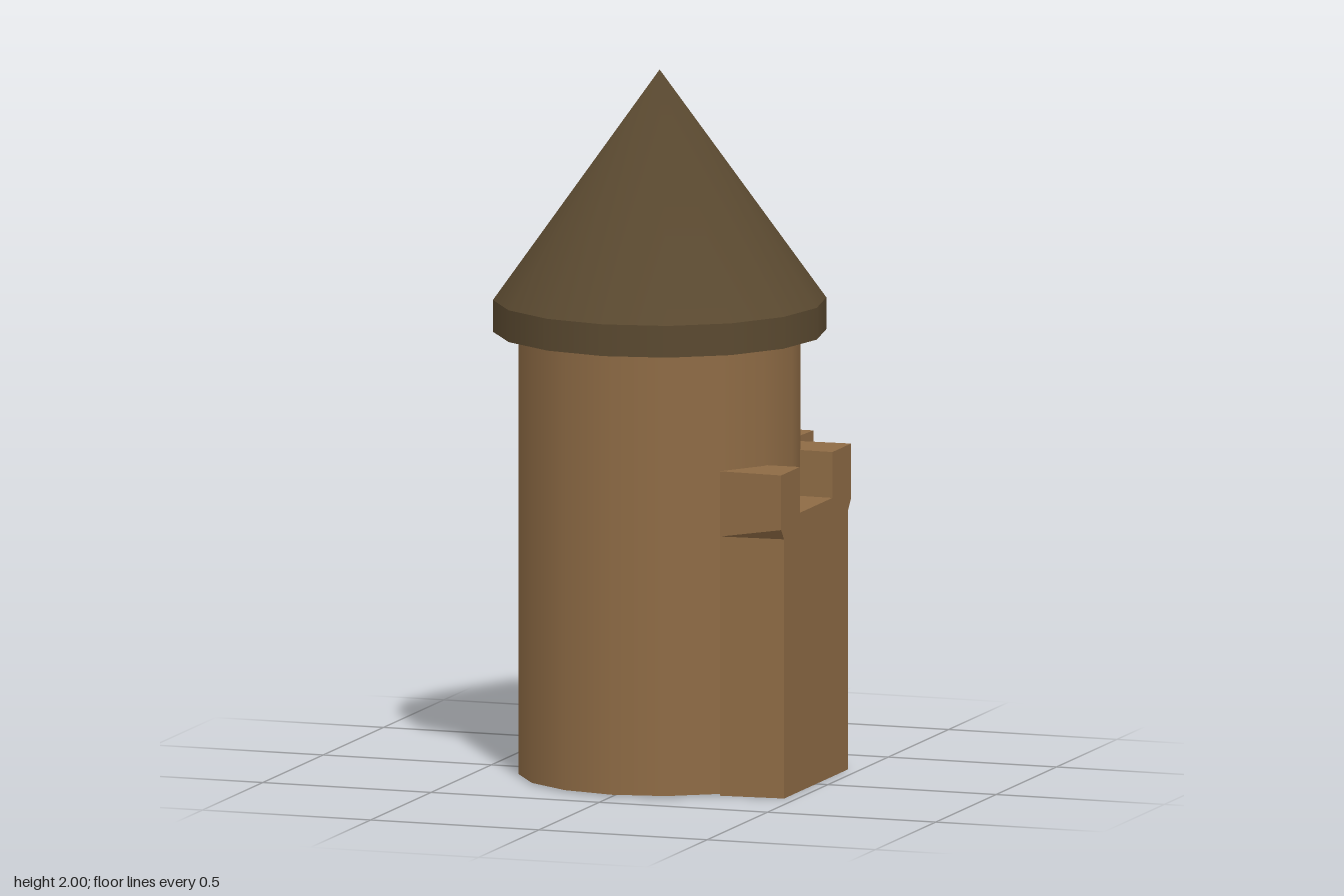
import * as THREE from 'three';
import { mergeVertices } from 'three/addons/utils/BufferGeometryUtils.js';

const SIDES = 16;

// Crenellated buttress facing +z: a wall silhouette that flares out under its merlons
function buttressGeometry() {
  const half = [[0.265, 0], [0.265, 0.735], [0.29, 0.765], [0.29, 0.92], [0.135, 0.92], [0.135, 0.79]];
  const outline = [...half, ...half.map(([x, y]) => [-x, y]).reverse()];
  const shape = new THREE.Shape(outline.map(([x, y]) => new THREE.Vector2(x, y)));
  const geo = new THREE.ExtrudeGeometry(shape, { depth: 0.185, bevelEnabled: false });
  geo.translate(0, 0, 0.28);
  // At the tower the flare dies away into one flat side
  const p = geo.attributes.position;
  for (let i = 0; i < p.count; i++) {
    if (p.getZ(i) > 0.3) continue;
    const x = p.getX(i), y = p.getY(i);
    p.setX(i, Math.sign(x) * (Math.abs(x) > 0.2 ? 0.28 : 0.14));
    if (y > 0.74 && y < 0.78) p.setY(i, 0.735);
  }
  geo.computeVertexNormals();
  return geo;
}

export function createModel() {
  const model = new THREE.Group();
  model.name = 'tower';
  const stone = new THREE.MeshStandardMaterial({ color: 0x8e6b45 });
  stone.name = 'brown stone';
  const slate = new THREE.MeshStandardMaterial({ color: 0x5a4930 });
  slate.name = 'dark roof';

  const add = (name, geo, mat, y = 0) => {
    const mesh = new THREE.Mesh(geo, mat);
    mesh.name = name;
    mesh.position.y = y;
    model.add(mesh);
    return mesh;
  };

  // Round shaft
  const shaftHeight = 1.26;
  add('shaft', new THREE.CylinderGeometry(0.395, 0.395, shaftHeight, SIDES), stone, 0.005 + shaftHeight / 2);

  // Buttresses on the left and at the back
  const buttress = buttressGeometry();
  add('leftButtress', buttress, stone).rotation.y = Math.PI / 2;
  add('backButtress', buttress, stone).rotation.y = Math.PI;

  // Eaves band
  add('roofEaves', new THREE.CylinderGeometry(0.467, 0.467, 0.09, SIDES), slate, 1.305);

  // Conical roof, smooth over a single shared apex
  let cone = new THREE.ConeGeometry(0.467, 0.65, SIDES, 1, true);
  cone.deleteAttribute('normal');
  cone.deleteAttribute('uv');
  cone = mergeVertices(cone);
  cone.computeVertexNormals();
  add('roofCone', cone, slate, 1.675);

  return model;
}
